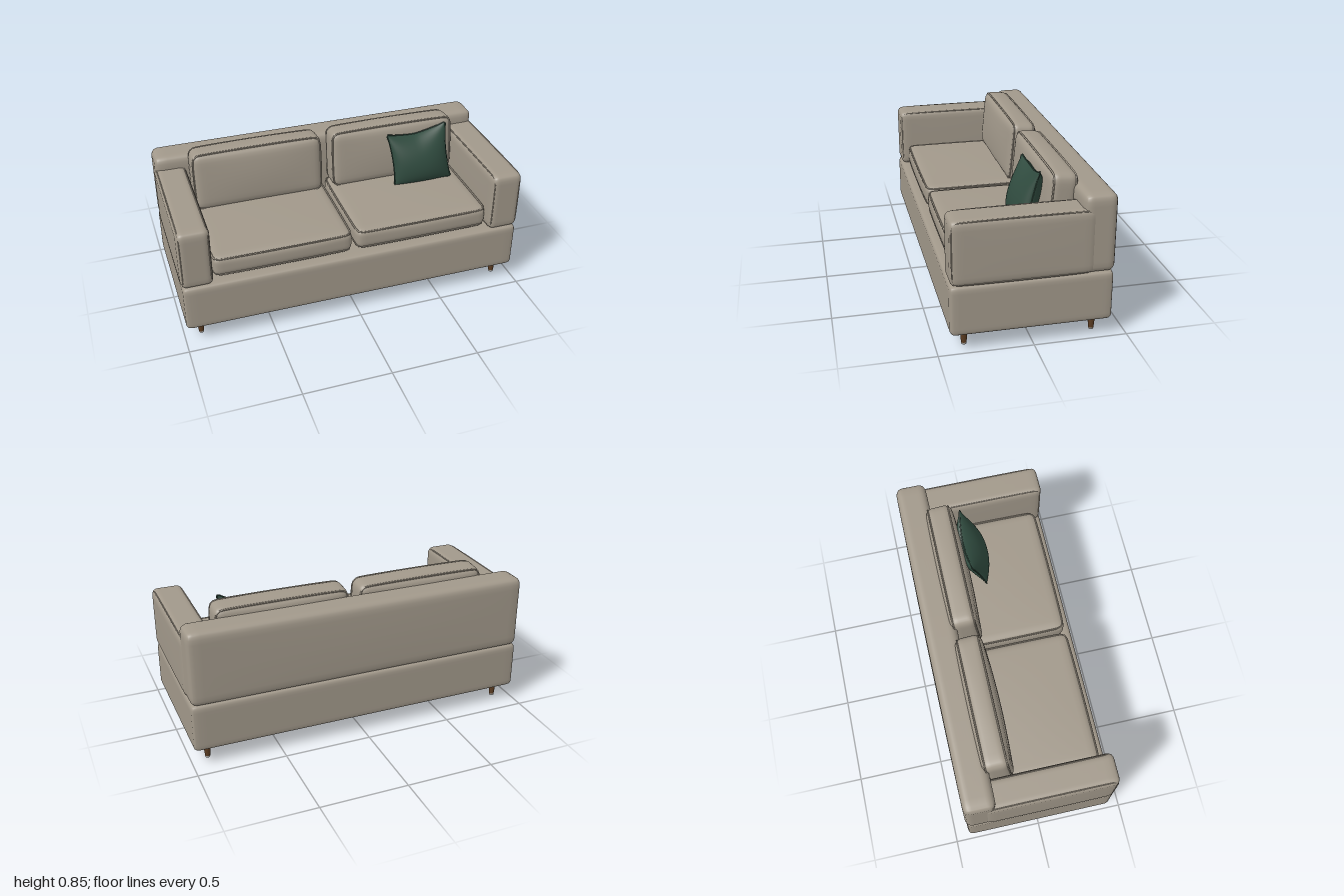
import * as THREE from 'three';
import { mergeVertices } from 'three/addons/utils/BufferGeometryUtils.js';

const fabric = new THREE.MeshStandardMaterial({ name: 'beige fabric', color: 0xa1988a });
const green = new THREE.MeshStandardMaterial({ name: 'green fabric', color: 0x2f4a3e, side: THREE.DoubleSide });
const wood = new THREE.MeshStandardMaterial({ name: 'brown wood', color: 0x5c3d22 });
const metal = new THREE.MeshStandardMaterial({ name: 'grey tip', color: 0xa8a6a2 });

// Soft upholstered block: rounded box whose faces swell by bulge [x, y, z]
function softBlock(w, h, d, r, bulge = [0, 0, 0]) {
  const half = [w / 2, h / 2, d / 2];
  const geo = new THREE.BoxGeometry(2, 2, 2, 24, 16, 20);
  geo.deleteAttribute('normal');
  geo.deleteAttribute('uv');
  const pos = geo.attributes.position;
  const core = new THREE.Vector3(), p = new THREE.Vector3();
  for (let i = 0; i < pos.count; i++) {
    const u = [pos.getX(i), pos.getY(i), pos.getZ(i)].map((t) => Math.sin((t * Math.PI) / 2));
    p.set(u[0] * half[0], u[1] * half[1], u[2] * half[2]);
    core.set(...[0, 1, 2].map((k) => THREE.MathUtils.clamp(p.getComponent(k), r - half[k], half[k] - r)));
    p.sub(core).normalize().multiplyScalar(r).add(core);
    const swell = [0, 1, 2].map((k) => {
      const a = u[(k + 1) % 3], b = u[(k + 2) % 3];
      return bulge[k] * u[k] * (1 - a * a) * (1 - b * b);
    });
    pos.setXYZ(i, p.x + swell[0], p.y + swell[1], p.z + swell[2]);
  }
  const merged = mergeVertices(geo, 1e-5);
  merged.computeVertexNormals();
  return merged;
}

// Closed piping cord around a rounded rectangle in the XY plane
function piping(w, h, r, thick = 0.005) {
  const pts = [];
  [[1, 1], [-1, 1], [-1, -1], [1, -1]].forEach(([sx, sy], q) => {
    for (let i = 0; i <= 4; i++) {
      const a = (q + i / 4) * Math.PI / 2;
      pts.push(new THREE.Vector3(sx * (w / 2 - r) + r * Math.cos(a), sy * (h / 2 - r) + r * Math.sin(a), 0));
    }
  });
  const curve = new THREE.CatmullRomCurve3(pts, true, 'centripetal');
  return new THREE.TubeGeometry(curve, 96, thick, 6, true);
}

function add(parent, name, geo, mat, x = 0, y = 0, z = 0) {
  const m = new THREE.Mesh(geo, mat);
  m.name = name;
  m.position.set(x, y, z);
  parent.add(m);
  return m;
}

// Point on the throw pillow; side is 1 front, -1 back, 0 seam
function pillowPoint(u, v, side) {
  const s = (u + 1) / 2, t = (v + 1) / 2, lerp = THREE.MathUtils.lerp;
  const x = lerp(lerp(0.39, 0.75, s), lerp(0.36, 0.73, s), t) - u * 0.012 * (1 - v * v);
  const y = lerp(0.51, lerp(0.81, 0.84, s), t) - 0.042 * t * t * (1 - Math.abs(u) ** 1.5);
  const puff = Math.pow(Math.max(0, (1 - u * u) * (1 - v * v)), 0.55);
  const z = lerp(-0.005, -0.088, t) - 0.02 * t * (1 - u * u) + side * (side > 0 ? 0.082 : 0.07) * puff;
  return new THREE.Vector3(x, y, z);
}

function buildPillow(parent) {
  const pillow = new THREE.Group();
  pillow.name = 'throwPillow';
  for (const side of [1, -1]) {
    const geo = new THREE.PlaneGeometry(2, 2, 24, 24);
    const pos = geo.attributes.position;
    for (let i = 0; i < pos.count; i++) {
      const u = Math.sin(pos.getX(i) * side * Math.PI / 2);
      const p = pillowPoint(u, Math.sin(pos.getY(i) * Math.PI / 2), side);
      pos.setXYZ(i, p.x, p.y, p.z);
    }
    geo.computeVertexNormals();
    add(pillow, side > 0 ? 'pillowFront' : 'pillowBack', geo, green);
  }
  const edge = [];
  [[-1, -1, 1, 0], [1, -1, 0, 1], [1, 1, -1, 0], [-1, 1, 0, -1]].forEach(([u, v, du, dv]) => {
    for (let i = 0; i < 8; i++) edge.push(pillowPoint(u + du * i / 4, v + dv * i / 4, 0));
  });
  const seam = new THREE.CatmullRomCurve3(edge, true, 'centripetal');
  add(pillow, 'pillowSeam', new THREE.TubeGeometry(seam, 96, 0.004, 6, true), green);
  parent.add(pillow);
}

export function createModel() {
  const sofa = new THREE.Group();
  sofa.name = 'sofa';

  // Base and backrest
  add(sofa, 'base', softBlock(1.98, 0.28, 0.855, 0.028), fabric, 0, 0.231, 0.006);
  add(sofa, 'backrest', softBlock(1.98, 0.43, 0.178, 0.042, [0, 0, 0.006]), fabric, 0, 0.581, -0.339);

  for (const s of [-1, 1]) {
    const label = s > 0 ? 'left' : 'right';

    // Armrest with cords around its inner and outer faces
    const arm = new THREE.Group();
    arm.name = label + 'Armrest';
    arm.position.set(s * 0.905, 0.546, 0.055);
    add(arm, 'armBody', softBlock(0.18, 0.355, 0.75, 0.036, [0.003, 0, 0]), fabric);
    for (const k of [-1, 1]) {
      const cord = add(arm, 'armPiping', piping(0.727, 0.332, 0.03, 0.004), fabric, k * 0.078);
      cord.rotation.y = Math.PI / 2;
    }
    sofa.add(arm);

    // Seat cushion with top and bottom cords
    const seat = new THREE.Group();
    seat.name = label + 'SeatCushion';
    seat.position.set(s * 0.411, 0.443, 0.07);
    add(seat, 'seatBody', softBlock(0.795, 0.125, 0.635, 0.038, [0.006, 0.008, 0.008]), fabric);
    for (const k of [-1, 1]) {
      const cord = add(seat, 'seatPiping', piping(0.782, 0.622, 0.035), fabric, 0, k * 0.05);
      cord.rotation.x = Math.PI / 2;
    }
    sofa.add(seat);

    // Back cushion, leaning slightly, with front and rear cords
    const back = new THREE.Group();
    back.name = label + 'BackCushion';
    back.position.set(s * 0.415, 0.667, -0.193);
    back.rotation.x = -0.09;
    add(back, 'backBody', softBlock(0.765, 0.35, 0.155, 0.045, [0.004, 0.012, 0.016]), fabric);
    for (const k of [-1, 1]) add(back, 'backPiping', piping(0.752, 0.337, 0.04), fabric, 0, 0, k * 0.06);
    sofa.add(back);

    // Tapered legs with small tips
    for (const z of [0.35, -0.336]) {
      const leg = new THREE.Group();
      leg.name = label + (z > 0 ? 'FrontLeg' : 'BackLeg');
      leg.position.set(s * 0.903, 0, z);
      add(leg, 'legShaft', new THREE.CylinderGeometry(0.022, 0.0145, 0.09, 20), wood, 0, 0.055, 0);
      add(leg, 'legTip', new THREE.CylinderGeometry(0.0145, 0.0135, 0.01, 20), metal, 0, 0.005, 0);
      sofa.add(leg);
    }
  }

  buildPillow(sofa);
  return sofa;
}
